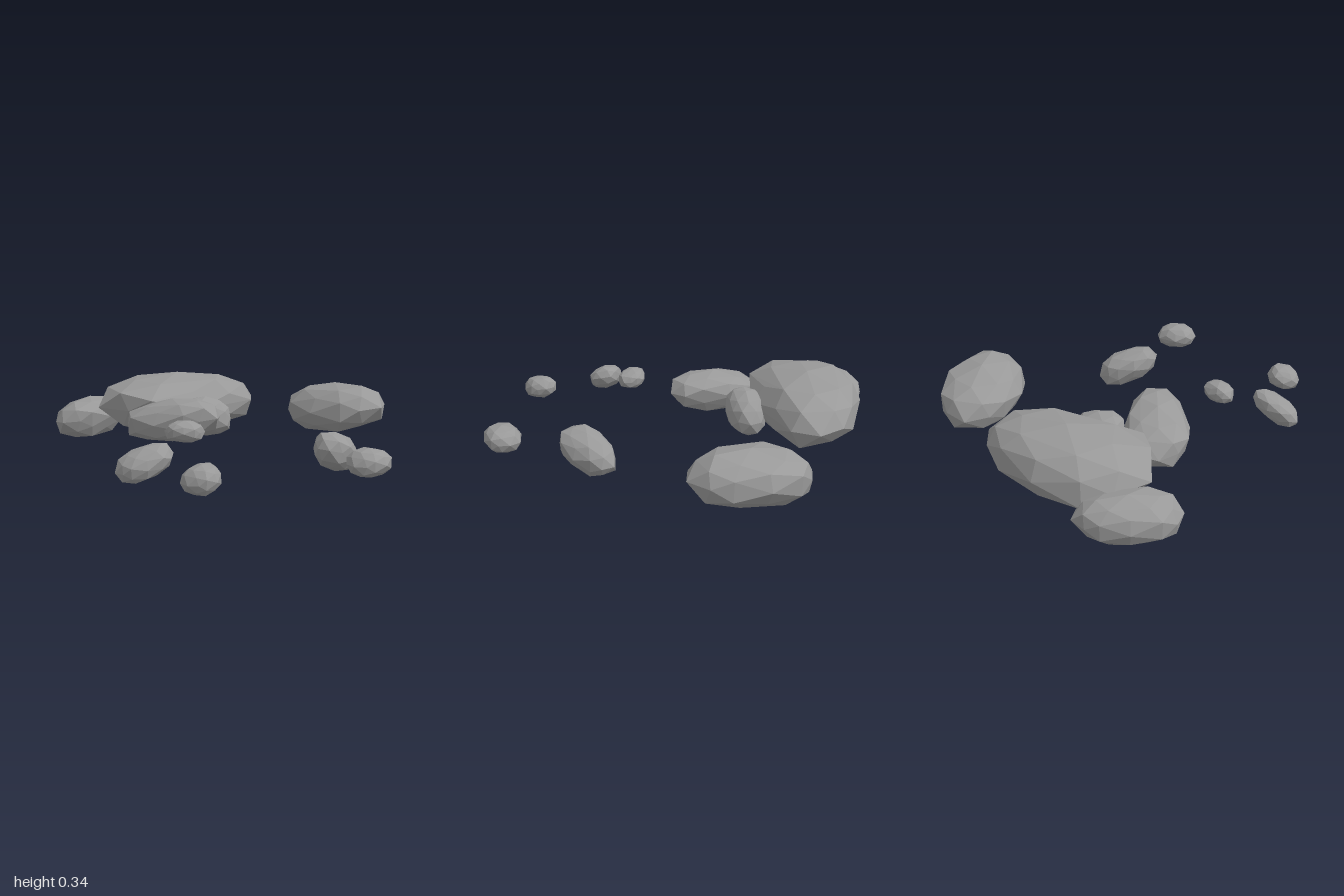
import * as THREE from 'three';
import { mergeVertices } from 'three/addons/utils/BufferGeometryUtils.js';
import { ConvexGeometry } from 'three/addons/geometries/ConvexGeometry.js';

// Small seeded generator, 0 to 1
function seeded(seed) {
  let s = seed;
  return () => (s = (s * 16807) % 2147483647) / 2147483647;
}

// The 42 shared corners of a subdivided icosahedron
function unitCorners() {
  const ball = new THREE.IcosahedronGeometry(1, 1);
  ball.deleteAttribute('normal');
  ball.deleteAttribute('uv');
  const position = mergeVertices(ball).getAttribute('position');
  return Array.from({ length: position.count }, (_, i) => new THREE.Vector3().fromBufferAttribute(position, i));
}

// Faceted convex stone: a squared-off ball, chipped at random, tapered along its length,
// turned by yaw (from +x towards +z) and sloped along x and z
function rockGeometry(centre, radii, { yaw = 0, taper = 0, slopeX = 0, slopeZ = 0, seed }) {
  const rand = seeded(seed * 7919 + 12345);
  const squared = (v) => Math.sign(v) * Math.abs(v) ** 0.82;
  const points = unitCorners().map((corner) => {
    const isPole = Math.max(...corner.toArray().map(Math.abs)) > 0.99;
    const chip = isPole ? 1 : 1 - 0.13 * rand();
    const [u, v, w] = corner.toArray().map((c) => squared(c) * chip);
    const along = u * radii[0];
    const across = w * radii[2] * (1 - taper * u);
    const x = along * Math.cos(yaw) - across * Math.sin(yaw);
    const z = along * Math.sin(yaw) + across * Math.cos(yaw);
    const y = v * radii[1] + x * slopeX + z * slopeZ;
    return new THREE.Vector3(centre[0] + x, centre[1] + y, centre[2] + z);
  });
  return new ConvexGeometry(points);
}

export function createModel() {
  const group = new THREE.Group();
  group.name = 'rockCluster';
  const stone = new THREE.MeshStandardMaterial({ color: 0x999999, flatShading: true });
  stone.name = 'grey stone';

  const addRock = (name, centre, radii, shape) => {
    const mesh = new THREE.Mesh(rockGeometry(centre, radii, shape), stone);
    mesh.name = name;
    group.add(mesh);
  };

  // Large rocks leaning together
  addRock('mainBoulder', [0.145, 0.185, -0.525], [0.43, 0.155, 0.27], { yaw: 0.42, taper: 0.22, seed: 1 });
  addRock('backRock', [-0.165, 0.11, -0.855], [0.235, 0.107, 0.13], { yaw: -0.22, slopeZ: 0.08, seed: 2 });
  addRock('leftLeaningRock', [-0.22, 0.18, -0.21], [0.26, 0.105, 0.15], { yaw: 1.44, taper: 0.2, slopeX: 0.05, slopeZ: 0.12, seed: 3 });
  addRock('nestledRock', [0.05, 0.155, -0.24], [0.14, 0.1, 0.1], { yaw: 0.35, slopeX: -0.15, seed: 4 });

  // Separate boulders
  addRock('sideBoulder', [0.68, 0.155, 0.1], [0.3, 0.13, 0.2], { yaw: 1.63, slopeX: 0.03, slopeZ: 0.11, seed: 5 });
  addRock('frontRock', [0.013, 0.1, 0.575], [0.16, 0.09, 0.1], { yaw: -0.45, slopeX: -0.27, seed: 6 });

  // Scattered pebbles
  addRock('largePebble', [-0.765, 0.125, 0.15], [0.125, 0.066, 0.083], { yaw: 0.6, slopeX: 0.35, seed: 7 });
  addRock('outerPebble', [-0.8, 0.12, 0.505], [0.082, 0.06, 0.085], { slopeX: 0.15, seed: 8 });
  addRock('smallPebble', [-0.485, 0.21, 0.12], [0.09, 0.05, 0.065], { yaw: 0.9, seed: 9 });
  addRock('frontPebble', [-0.215, 0.142, 0.9], [0.105, 0.063, 0.09], { seed: 10 });

  return group;
}
